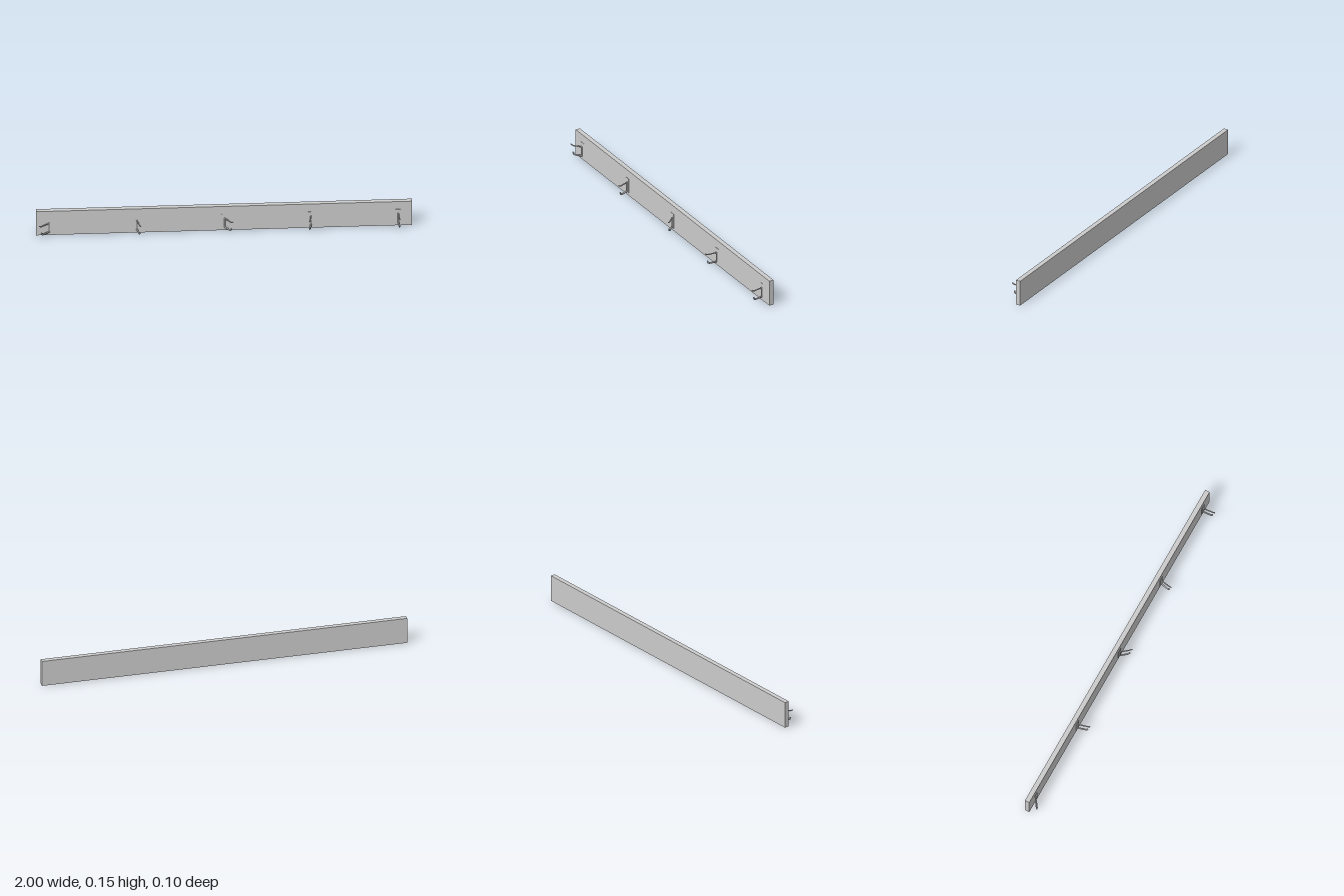
import * as THREE from 'three';

const material = new THREE.MeshStandardMaterial({ color: 0xcccccc });
const FACE_Z = -0.021; // front face of the board

function addMesh(parent, name, geometry, x = 0, y = 0, z = 0) {
  const mesh = new THREE.Mesh(geometry, material);
  mesh.name = name;
  mesh.position.set(x, y, z);
  parent.add(mesh);
  return mesh;
}

// Round bar through [y, z] points with a rounded tip
function addArm(parent, name, points, radius) {
  const path = new THREE.CurvePath();
  const v = points.map(([y, z]) => new THREE.Vector3(0, y, z));
  const curve = new THREE.CatmullRomCurve3(v, false, 'centripetal');
  path.add(curve);
  addMesh(parent, name, new THREE.TubeGeometry(curve, 24, radius, 8), 0, 0, 0);
  const end = v[v.length - 1];
  addMesh(parent, name + 'Tip', new THREE.SphereGeometry(radius, 8, 6), 0, end.y, end.z);
}

function createHook(x, yaw) {
  const hook = new THREE.Group();
  hook.name = 'coatHook';
  hook.position.set(x, 0, FACE_Z);

  // Thin plate flat against the board
  addMesh(hook, 'backPlate', new THREE.BoxGeometry(0.03, 0.084, 0.002), 0, 0.058, 0.001);

  // Two-armed hook swivelling on the plate
  const swivel = new THREE.Group();
  swivel.name = 'swivelHook';
  swivel.rotation.y = yaw;
  hook.add(swivel);
  addMesh(swivel, 'stem', new THREE.CylinderGeometry(0.0035, 0.0035, 0.056, 8), 0, 0.047, 0.004);
  addArm(swivel, 'upperArm',
    [[0.075, 0.002], [0.074, 0.02], [0.0725, 0.045], [0.0725, 0.056], [0.078, 0.067]], 0.0035);
  addArm(swivel, 'lowerArm',
    [[0.022, 0.002], [0.0205, 0.02], [0.0195, 0.04], [0.021, 0.049], [0.031, 0.055]], 0.0045);
  return hook;
}

export function createModel() {
  const model = new THREE.Group();
  model.name = 'coatRack';

  addMesh(model, 'board', new THREE.BoxGeometry(2, 0.147, 0.026), 0, 0.0735, -0.034);

  // Five hooks, each turned its own way
  const hooks = [[-0.928, -0.95], [-0.465, 0.27], [0, 0.7], [0.462, -0.17], [0.926, 0.09]];
  for (const [x, yaw] of hooks) model.add(createHook(x, yaw));
  return model;
}
